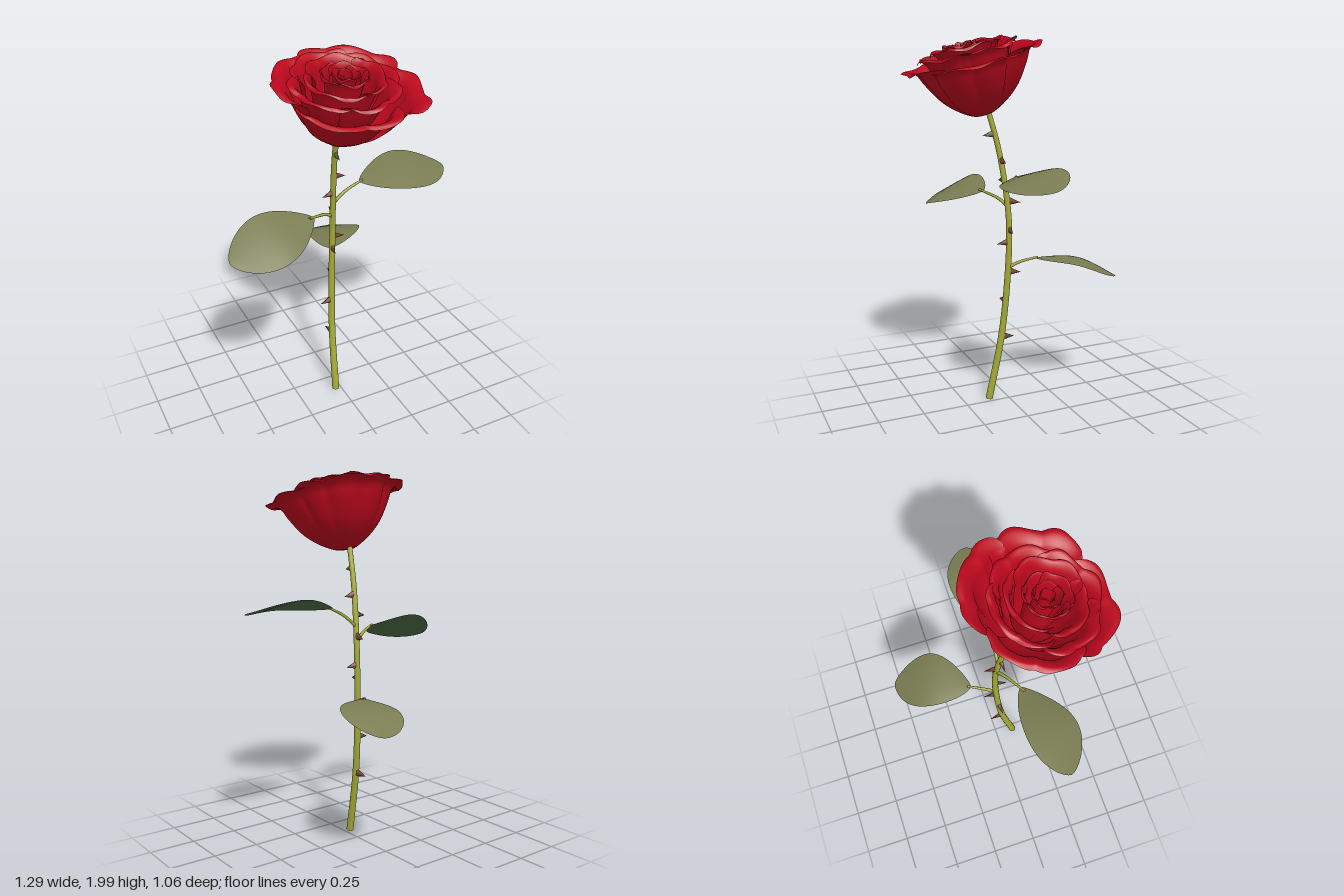
import * as THREE from 'three';

const V = (x, y, z) => new THREE.Vector3(x, y, z);
const mat = (name, color, side = THREE.FrontSide) => {
  const m = new THREE.MeshStandardMaterial({ color, side });
  m.name = name;
  return m;
};

// Surface grid: fn(u, v) with u, v in 0..1 returns a point
function grid(nu, nv, fn, flip = false) {
  const pos = [], idx = [];
  for (let i = 0; i <= nu; i++)
    for (let j = 0; j <= nv; j++) pos.push(...fn(i / nu, j / nv).toArray());
  for (let i = 0; i < nu; i++)
    for (let j = 0; j < nv; j++) {
      const a = i * (nv + 1) + j, b = a + nv + 1;
      if (flip) idx.push(a, a + 1, b, b, a + 1, b + 1);
      else idx.push(a, b, a + 1, b, b + 1, a + 1);
    }
  const g = new THREE.BufferGeometry();
  g.setAttribute('position', new THREE.Float32BufferAttribute(pos, 3));
  g.setIndex(idx);
  g.computeVertexNormals();
  return g;
}

// Tube whose radius tapers from r0 to r1
function taperedTube(curve, n, sides, r0, r1) {
  const g = new THREE.TubeGeometry(curve, n, 1, sides);
  const p = g.attributes.position, v = V(0, 0, 0);
  for (let k = 0; k < p.count; k++) {
    const t = Math.floor(k / (sides + 1)) / n, c = curve.getPointAt(t);
    v.fromBufferAttribute(p, k).sub(c).multiplyScalar(r0 + (r1 - r0) * t).add(c);
    p.setXYZ(k, v.x, v.y, v.z);
  }
  return g;
}

// One cupped petal: centre angle and half width in degrees, rim radius R, rim height H
function petalGeometry(angle, half, R, H, seed) {
  const profile = new THREE.SplineCurve([
    [0.015, 0], [0.2 * R, 0.04 * H], [0.42 * R, 0.2 * H], [0.61 * R, 0.42 * H],
    [0.77 * R, 0.72 * H], [0.85 * R, 0.9 * H], [0.98 * R, 0.99 * H], [1.05 * R, 0.96 * H],
  ].map(([r, h]) => new THREE.Vector2(r, h)));
  const rad = Math.PI / 180;
  return grid(40, 22, (s, v) => {
    const u = 2 * s - 1;
    const edge = u ** 4;
    const q = profile.getPoint(v * (1 - 0.22 * edge));
    const rim = v ** 5 * (1 - edge);
    // spiral overlap, tucked sides, lengthwise folds and a wavy lip
    const fold = 0.04 * Math.sqrt(v) * (1 - 2 * Math.abs(Math.sin(4 * u + seed)));
    const r = q.x * (1 + 0.035 * u - 0.07 * edge * v - fold)
      + 0.03 * R * rim * Math.sin(7.5 * u + 2.3 * seed);
    const h = q.y + 0.03 * H * rim * Math.sin(8 * u + 1.7 * seed);
    const a = (angle + u * half) * rad;
    return V(r * Math.cos(a), h, r * Math.sin(a));
  });
}

export function createModel() {
  const model = new THREE.Group();
  model.name = 'rose';
  const petalRed = mat('petal red', 0xba081d, THREE.DoubleSide);
  const stemGreen = mat('stem green', 0xa3aa37, THREE.DoubleSide);
  const leafTop = mat('leaf olive', 0x7a7c52);
  const leafUnder = mat('leaf underside green', 0x4d6645);
  const thornBrown = mat('thorn brown', 0x7a4a34);
  const thornGreen = mat('young thorn green', 0x66683c);
  const add = (parent, name, geo, material) => {
    const m = new THREE.Mesh(geo, material);
    m.name = name;
    parent.add(m);
    return m;
  };

  // Stem
  const stemCurve = new THREE.CatmullRomCurve3([
    V(-0.032, 0.005, 0.108), V(-0.02, 0.37, 0.037), V(-0.007, 0.72, 0.005),
    V(0, 1.0, 0), V(-0.006, 1.2, 0.018), V(-0.018, 1.42, 0.055), V(-0.03, 1.62, 0.108),
  ]);
  add(model, 'stem', taperedTube(stemCurve, 48, 14, 0.02, 0.014), stemGreen);
  const cap = add(model, 'stemEnd', new THREE.CircleGeometry(0.02, 14), stemGreen);
  cap.position.copy(stemCurve.getPointAt(0));
  cap.quaternion.setFromUnitVectors(V(0, 0, 1), stemCurve.getTangentAt(0).negate());

  // Stem point at a given height
  const stemAt = (y) => {
    let lo = 0, hi = 1;
    for (let i = 0; i < 24; i++) {
      const m = (lo + hi) / 2;
      if (stemCurve.getPointAt(m).y < y) lo = m; else hi = m;
    }
    return stemCurve.getPointAt(lo);
  };

  // Thorns: height, direction x, direction z, size
  [
    [1.49, -0.1, 1, 1, thornGreen], [1.35, 1, 0, 1, thornBrown], [1.245, -1, 0.1, 1, thornBrown],
    [1.13, 0.15, -1, 1.1, thornBrown], [0.975, 1, 0.1, 1, thornBrown], [0.905, -0.2, 1, 1, thornBrown],
    [0.74, 0.1, -1, 1.1, thornBrown], [0.575, -1, 0.1, 1.1, thornBrown], [0.365, -0.1, -1, 1.2, thornBrown],
  ].forEach(([y, dx, dz, size, material]) => {
    const dir = V(dx, 0, dz).normalize();
    const geo = new THREE.ConeGeometry(0.02, 0.06, 8).translate(0, 0.03, 0);
    geo.scale(size, size, 0.6 * size);
    const thorn = add(model, 'thorn', geo, material);
    const side = V(0, 1, 0).cross(dir);
    const out = dir.clone().add(V(0, -0.15, 0)).normalize();
    const up = out.clone().cross(side);
    thorn.quaternion.setFromRotationMatrix(new THREE.Matrix4().makeBasis(up, out, up.clone().cross(out)));
    thorn.position.copy(stemAt(y)).addScaledVector(dir, 0.008);
  });

  // Leaves: petiole path, then blade spine, half width and sideways tilt
  [
    { name: 'leftLeaf', stalk: [V(0, 1.185, 0.015), V(0.07, 1.242, 0.02), V(0.16, 1.288, 0.03)],
      spine: [V(0.14, 1.283, 0.03), V(0.39, 1.322, 0.055), V(0.645, 1.285, 0.05)], width: 0.16, tilt: 0.25 },
    { name: 'rightLeaf', stalk: [V(0, 1.095, 0), V(-0.06, 1.137, 0.035), V(-0.18, 1.172, 0.1)],
      spine: [V(-0.15, 1.167, 0.088), V(-0.4, 1.158, 0.165), V(-0.645, 1.08, 0.19)], width: 0.148, tilt: -0.47 },
    { name: 'backLeaf', stalk: [V(0, 0.765, 0), V(0.02, 0.793, -0.05), V(0.06, 0.822, -0.145)],
      spine: [V(0.05, 0.817, -0.125), V(0.17, 0.813, -0.33), V(0.245, 0.72, -0.525)], width: 0.155, tilt: -0.1 },
  ].forEach(({ name, stalk, spine, width, tilt }) => {
    const leaf = new THREE.Group();
    leaf.name = name;
    model.add(leaf);
    add(leaf, 'petiole', taperedTube(new THREE.CatmullRomCurve3(stalk), 12, 8, 0.01, 0.006), stemGreen);
    const curve = new THREE.CatmullRomCurve3(spine);
    const across = V(0, 1, 0).cross(spine[2].clone().sub(spine[0]).setY(0)).normalize();
    across.y = tilt;
    // thickness drops the lower face slightly inside the outline
    const blade = (thickness) => (e, s) => {
      const t = 0.5 - 0.5 * Math.cos(Math.PI * e);
      const w = width * Math.max(0, Math.sin(Math.PI * t ** 1.17)) ** 0.63;
      const k = 2 * s - 1;
      const p = curve.getPoint(t).addScaledVector(across, k * w);
      p.y -= 0.06 * w * k * k + thickness * (1 - k * k) * Math.sin(Math.PI * t);
      return p;
    };
    add(leaf, 'bladeTop', grid(32, 10, blade(0)), leafTop);
    add(leaf, 'bladeUnderside', grid(32, 10, blade(0.004), true), leafUnder);
  });

  // Flower head, leaning to the front
  const flower = new THREE.Group();
  flower.name = 'flowerHead';
  flower.position.set(-0.03, 1.587, 0.135);
  flower.rotation.x = 0.24;
  model.add(flower);

  // Four large outer petals: angle, half width, rim radius, rim height
  [
    [108, 58, 0.325, 0.3], [14, 45, 0.36, 0.295], [-65, 51, 0.355, 0.31], [206, 49, 0.33, 0.315],
  ].forEach(([a, half, R, H], i) =>
    add(flower, 'outerPetal', petalGeometry(a, half, R, H, i * 1.9 + 0.6), petalRed));

  // Inner whorls, set slightly to one side: count, start angle, half width, rim radius, rim height
  const heart = new THREE.Group();
  heart.name = 'heart';
  heart.position.x = -0.015;
  flower.add(heart);
  [
    [4, 65, 56, 0.25, 0.345], [3, 20, 72, 0.175, 0.368], [3, 75, 76, 0.112, 0.375],
    [3, 15, 80, 0.066, 0.375], [2, 60, 115, 0.032, 0.37],
  ].forEach(([count, start, half, R, H], ring) => {
    for (let i = 0; i < count; i++) {
      const seed = ring * 2.7 + i * 2.1;
      const size = 1 + 0.05 * Math.sin(seed * 3);
      add(heart, 'innerPetal',
        petalGeometry(start + (i * 360) / count, half, R * size, H * (1 + 0.02 * Math.sin(seed * 5)), seed), petalRed);
    }
  });

  return model;
}
